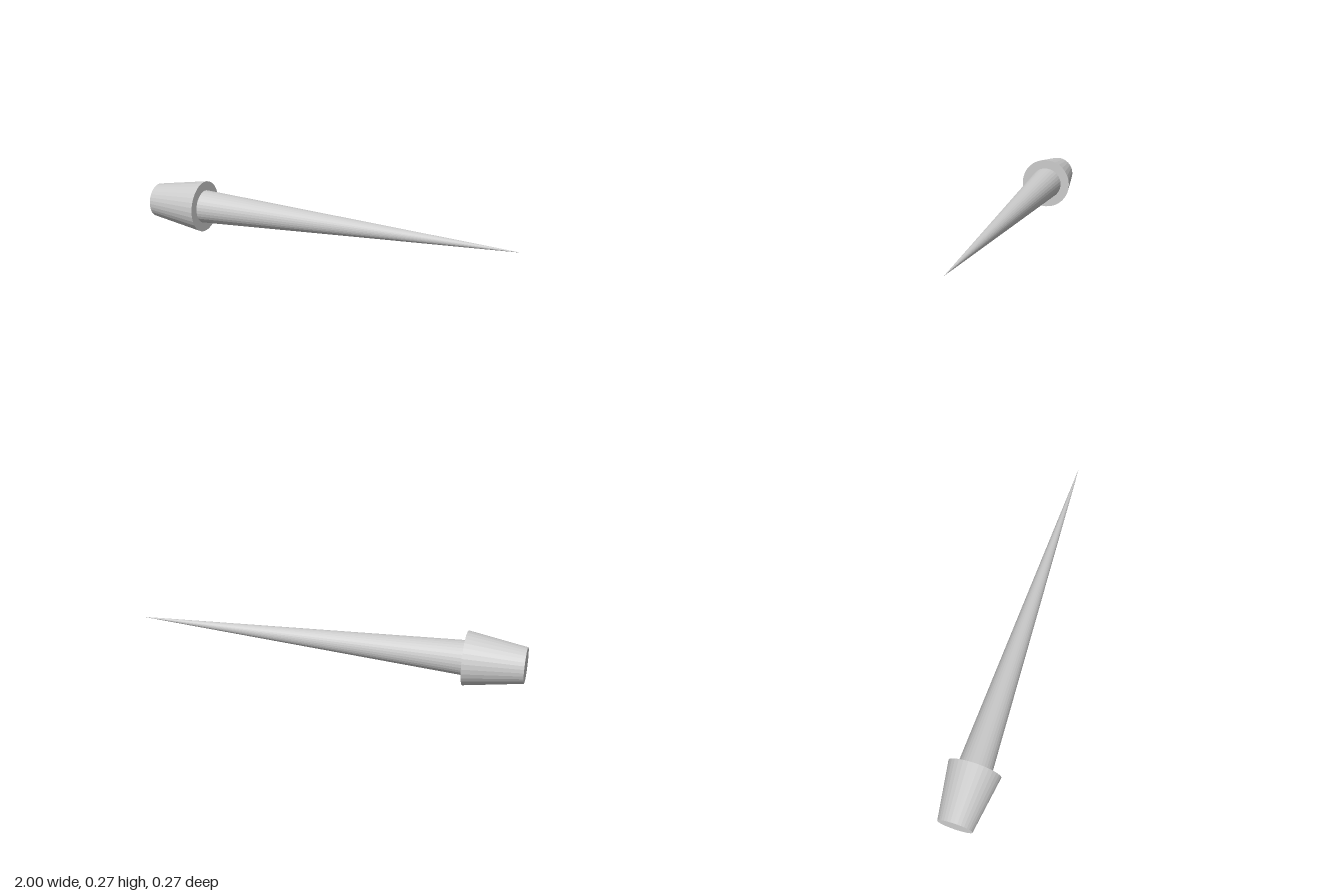
import * as THREE from 'three';

const SIDES = 32;
const AXIS_Y = 0.134;

// Round tapered section lying along x, from x0 (radius r0) to x1 (radius r1)
function taper(name, x0, r0, x1, r1, material) {
  const length = x1 - x0;
  const geometry = r1 > 0
    ? new THREE.CylinderGeometry(r1, r0, length, SIDES)
    : new THREE.ConeGeometry(r0, length, SIDES);
  geometry.rotateZ(-Math.PI / 2);
  const mesh = new THREE.Mesh(geometry, material);
  mesh.name = name;
  mesh.position.set((x0 + x1) / 2, AXIS_Y, 0);
  return mesh;
}

export function createModel() {
  const group = new THREE.Group();
  group.name = 'dart';
  const material = new THREE.MeshStandardMaterial({ color: 0xcccccc, flatShading: true });

  // Flared plug at the tail, widening towards the spike
  group.add(taper('tailPlug', -1, 0.088, -0.71, 0.134, material));
  // Long needle rising from the plug's wide face to a sharp point
  group.add(taper('needle', -0.71, 0.086, 1, 0, material));

  return group;
}
